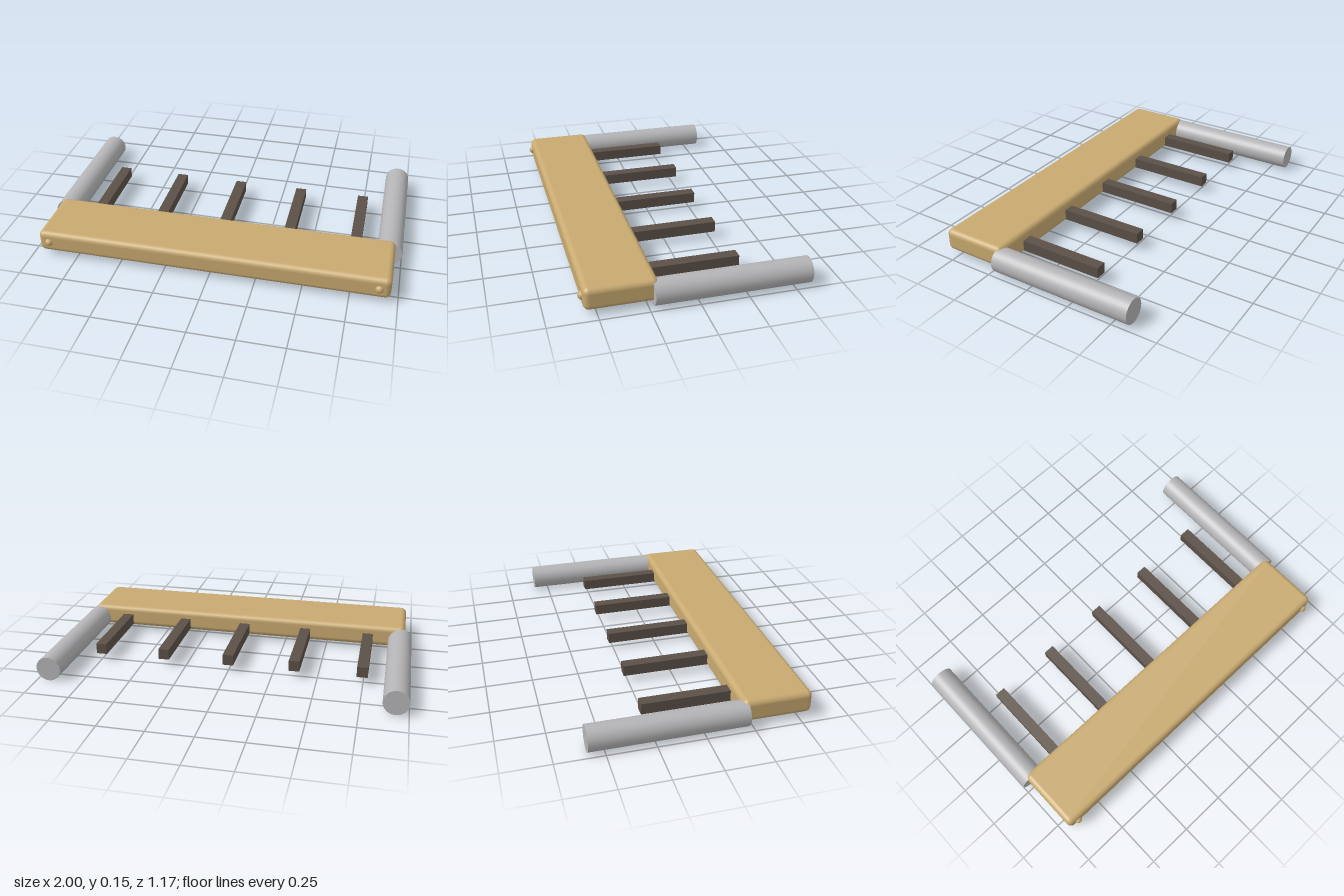
import * as THREE from 'three';
import { RoundedBoxGeometry } from 'three/addons/geometries/RoundedBoxGeometry.js';

export function createModel() {
  const model = new THREE.Group();
  const tan = new THREE.MeshStandardMaterial({ name: 'tan', color: 0xc8a970 });
  const grey = new THREE.MeshStandardMaterial({ name: 'grey', color: 0xb4b4b6 });
  const brown = new THREE.MeshStandardMaterial({ name: 'darkBrown', color: 0x5c5048 });

  const add = (name, geometry, material, x, y, z) => {
    const mesh = new THREE.Mesh(geometry, material);
    mesh.name = name;
    mesh.position.set(x, y, z);
    model.add(mesh);
    return mesh;
  };

  // Rounded front slab
  add('slab', new RoundedBoxGeometry(1.92, 0.122, 0.368, 4, 0.03), tan, 0, 0.086, 0.381);

  // Round side arms and front studs, mirrored
  const armGeometry = new THREE.CylinderGeometry(0.068, 0.068, 0.81, 32).rotateX(Math.PI / 2);
  const studGeometry = new THREE.SphereGeometry(0.023, 12, 8);
  for (const [side, s] of [['left', 1], ['right', -1]]) {
    add(side + 'Arm', armGeometry, grey, s * 0.932, 0.068, -0.18);
    add(side + 'Stud', studGeometry, tan, s * 0.9, 0.086, 0.561);
  }

  // Row of square prongs, running into the slab
  const prongGeometry = new THREE.BoxGeometry(0.06, 0.06, 0.515);
  for (let i = 0; i < 5; i++) {
    add('prong' + (i + 1), prongGeometry, brown, (i - 2) * 0.372, 0.07, -0.0175);
  }
  return model;
}
